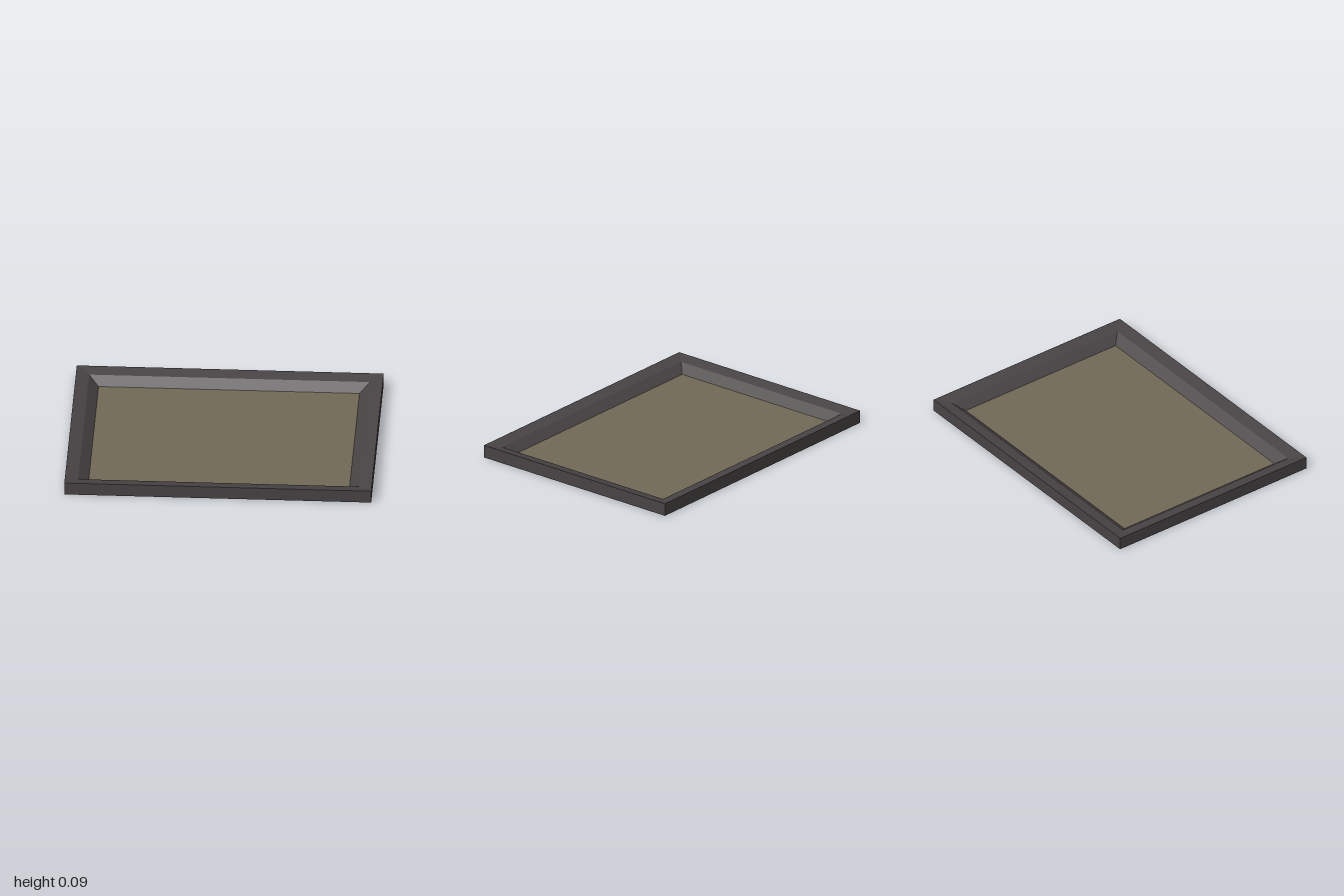
import * as THREE from 'three';

const HALF_X = 1, HALF_Z = 0.763;
const RAIL = 0.15;      // rail width
const PANEL_Y = 0.018;  // height of the recessed panel

// Rail cross-section: [inset from outer edge, height]
const PROFILE = [[0, 0], [0, 0.085], [0.085, 0.068], [RAIL, 0.017], [RAIL, 0], [0, 0]];

const CORNERS = [[1, 1], [1, -1], [-1, -1], [-1, 1]];

// One mitred rail, running between two neighbouring corners
function railGeometry(a, b) {
  const point = ([sx, sz], [inset, y]) => [sx * (HALF_X - inset), y, sz * (HALF_Z - inset)];
  const positions = [];
  for (let i = 0; i < PROFILE.length - 1; i++) {
    const p = PROFILE[i], q = PROFILE[i + 1];
    const a0 = point(a, p), b0 = point(b, p), b1 = point(b, q), a1 = point(a, q);
    positions.push(...a0, ...b0, ...b1, ...a0, ...b1, ...a1);
  }
  const geometry = new THREE.BufferGeometry();
  geometry.setAttribute('position', new THREE.Float32BufferAttribute(positions, 3));
  geometry.computeVertexNormals();
  return geometry;
}

export function createModel() {
  const frameMaterial = new THREE.MeshStandardMaterial({ color: 0x484344 });
  frameMaterial.name = 'dark frame';
  const panelMaterial = new THREE.MeshStandardMaterial({ color: 0x726957 });
  panelMaterial.name = 'olive panel';

  const model = new THREE.Group();
  model.name = 'framedPanel';

  // Four mitred rails
  ['leftRail', 'backRail', 'rightRail', 'frontRail'].forEach((name, i) => {
    const rail = new THREE.Mesh(railGeometry(CORNERS[i], CORNERS[(i + 1) % 4]), frameMaterial);
    rail.name = name;
    model.add(rail);
  });

  // Backing board and the panel lying on it
  const addSheet = (name, bottom, top, material) => {
    const geometry = new THREE.BoxGeometry(2 * (HALF_X - RAIL), top - bottom, 2 * (HALF_Z - RAIL));
    const sheet = new THREE.Mesh(geometry, material);
    sheet.name = name;
    sheet.position.y = (bottom + top) / 2;
    model.add(sheet);
  };
  addSheet('backing', 0, 0.01, frameMaterial);
  addSheet('panel', 0.01, PANEL_Y, panelMaterial);

  return model;
}
